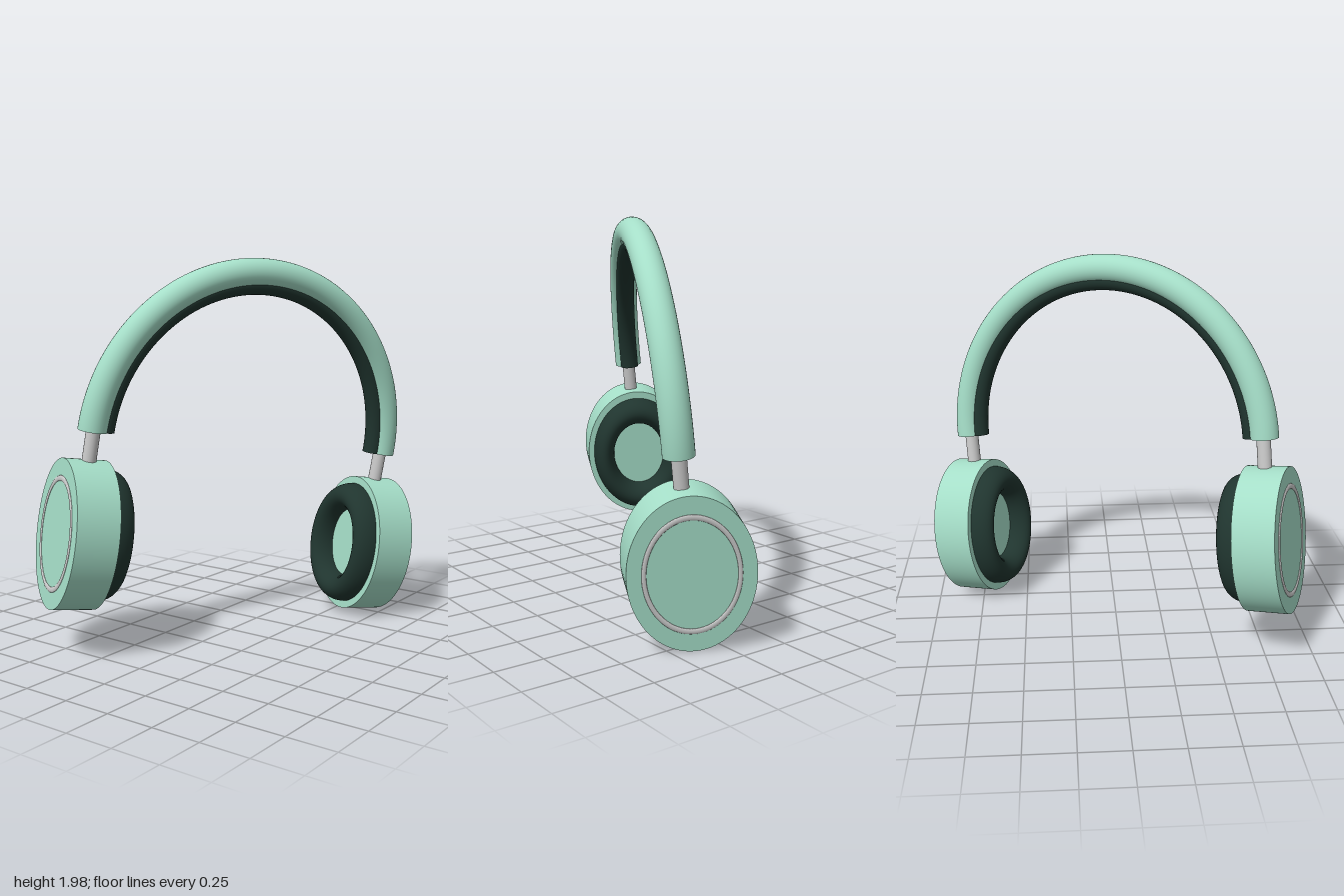
import * as THREE from 'three';

const mint = new THREE.MeshStandardMaterial({ color: 0xa5dec8 });
const dark = new THREE.MeshStandardMaterial({ color: 0x20352f });
const silver = new THREE.MeshStandardMaterial({ color: 0xcccccc });

const OVAL = 0.79;     // cup width / cup height
const ARM_X = 0.86;    // distance of rods and band ends from the middle
const ARM_Y = 0.53;    // height of the band ends above the cup centres
const RISE = 0.884;    // height of the band arch

// Half-ellipse arch running from +x over the top to -x
class Arch extends THREE.Curve {
  constructor(rx, ry) {
    super();
    this.rx = rx;
    this.ry = ry;
  }
  getPoint(t, target = new THREE.Vector3()) {
    const a = t * Math.PI;
    return target.set(this.rx * Math.cos(a), ARM_Y + this.ry * Math.sin(a), 0);
  }
}

function part(name, geometry, material, parent) {
  const mesh = new THREE.Mesh(geometry, material);
  mesh.name = name;
  parent.add(mesh);
  return mesh;
}

// Round bar along an arch, closed by a flat disc at both ends
function archBar(name, inset, radius, material) {
  const bar = new THREE.Group();
  bar.name = name;
  const arch = new Arch(ARM_X - inset, RISE - inset);
  part(name + 'Tube', new THREE.TubeGeometry(arch, 96, radius, 32), material, bar);
  for (const s of [1, -1]) {
    const cap = part(name + 'End', new THREE.CircleGeometry(radius, 32).rotateX(Math.PI / 2), material, bar);
    cap.position.set(s * (ARM_X - inset), ARM_Y, 0);
  }
  return bar;
}

// One ear cup with its rod, on the +x side
function earCup(name) {
  const cup = new THREE.Group();
  cup.name = name;

  // oval shell, flat on both faces
  const shell = new THREE.CylinderGeometry(0.38, 0.38, 0.22, 96).rotateZ(-Math.PI / 2).scale(1, 1, OVAL);
  part('shell', shell, mint, cup).position.x = 0.865;

  // thin trim ring on the outer face
  const trim = new THREE.TorusGeometry(0.279, 0.014, 12, 96).rotateY(Math.PI / 2).scale(0.4, 1, OVAL);
  part('trimRing', trim, silver, cup).position.x = 0.975;

  // soft cushion on the inner face
  const cushion = new THREE.TorusGeometry(0.265, 0.075, 32, 96).rotateY(Math.PI / 2).scale(1.4, 1, OVAL);
  part('cushion', cushion, dark, cup).position.x = 0.755;

  // rod from the shell up into the band
  const rod = new THREE.CylinderGeometry(0.036, 0.036, 0.32, 32);
  part('rod', rod, silver, cup).position.set(ARM_X - 0.003, 0.46, 0);
  return cup;
}

export function createModel() {
  const model = new THREE.Group();
  model.name = 'headphones';

  const body = new THREE.Group();
  body.name = 'tiltedBody';
  model.add(body);

  // band with its inner padding
  body.add(archBar('headband', 0, 0.075, mint));
  body.add(archBar('headbandPadding', 0.06, 0.05, dark));

  // the right cup is the left one turned half round
  const rightCup = earCup('rightEarCup');
  rightCup.rotation.y = Math.PI;
  body.add(earCup('leftEarCup'), rightCup);

  // lean and turn of the whole piece
  const x = new THREE.Vector3(0.884, -0.13, 0.449).normalize();
  const z = x.clone().cross(new THREE.Vector3(0.07, 0.985, 0.155)).normalize();
  const y = z.clone().cross(x);
  body.quaternion.setFromRotationMatrix(new THREE.Matrix4().makeBasis(x, y, z));
  body.position.y = 0.505;
  return model;
}
